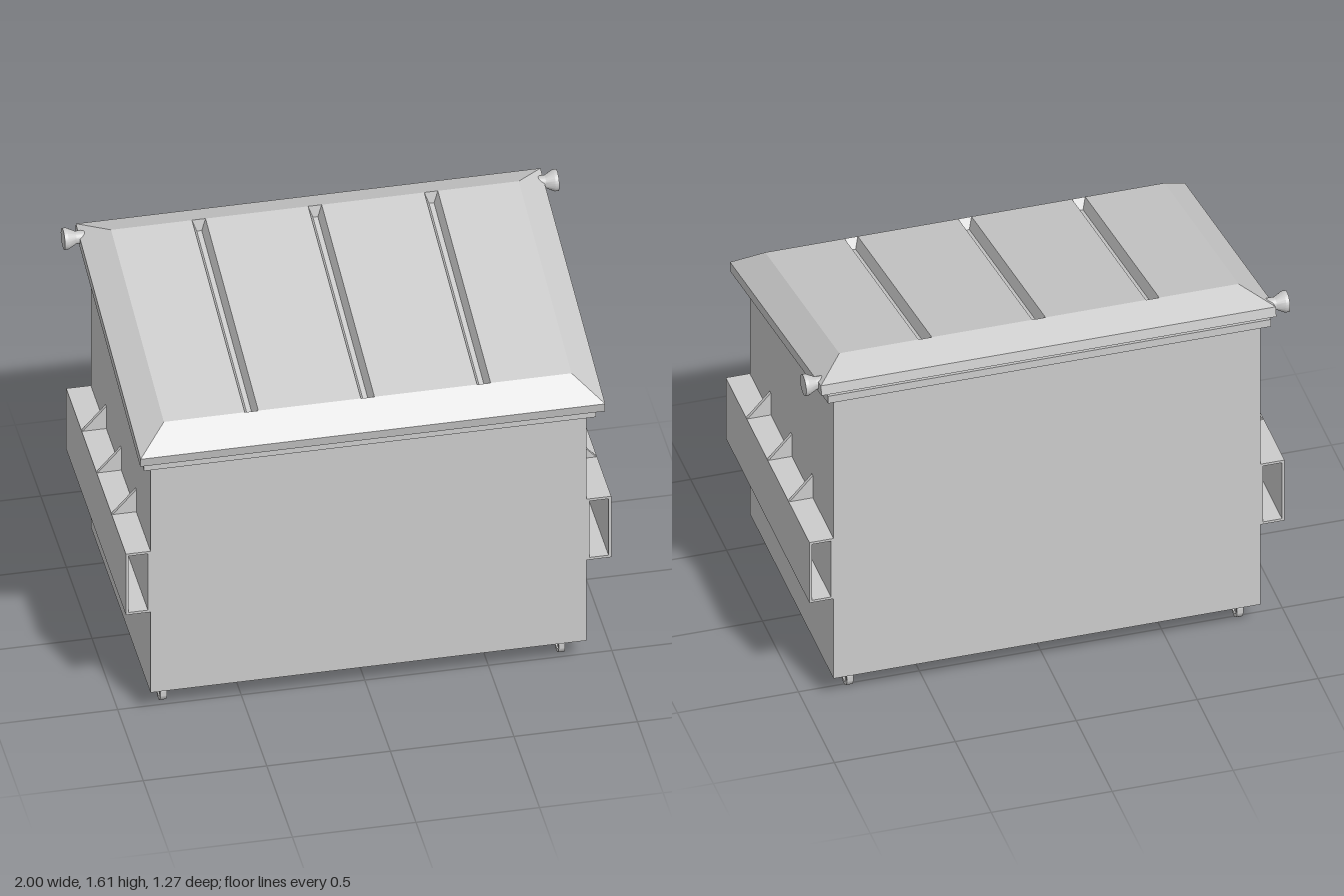
import * as THREE from 'three';
import { toCreasedNormals } from 'three/addons/utils/BufferGeometryUtils.js';

const material = new THREE.MeshStandardMaterial({ color: 0xcccccc });

function add(parent, name, geometry, x = 0, y = 0, z = 0) {
  const mesh = new THREE.Mesh(geometry, material);
  mesh.name = name;
  mesh.position.set(x, y, z);
  parent.add(mesh);
  return mesh;
}

const polygon = (points) => new THREE.Shape(points.map(([a, b]) => new THREE.Vector2(a, b)));

// Extrude a shape along z, centred on z = 0
function extrude(shape, depth) {
  return new THREE.ExtrudeGeometry(shape, { depth, bevelEnabled: false, curveSegments: 20 })
    .translate(0, 0, -depth / 2);
}

// Extrude a side profile given as (z, y) across the width
const extrudeAcross = (shape, width) => extrude(shape, width).rotateY(-Math.PI / 2);

// Rectangle at height y, corners counter-clockwise from above
const ring = (x, halfW, halfL, y) => [
  [x - halfW, y, halfL], [x + halfW, y, halfL], [x + halfW, y, -halfL], [x - halfW, y, -halfL],
];

// Lid shell: outer band, sloping hips, flat panels and sunken grooves between them
function lidGeometry() {
  const positions = [];
  const quad = (a, b, c, d) => positions.push(...a, ...b, ...c, ...a, ...c, ...d);
  const bridge = (a, b) => {
    for (let i = 0; i < 4; i++) {
      const j = (i + 1) % 4;
      quad(a[i], a[j], b[j], b[i]);
    }
  };
  const top = 0.071, topW = 0.825, topL = 0.527, grooveW = 0.0275;
  const base = ring(0, 0.94, 0.6465, -0.043);
  const brim = ring(0, 0.94, 0.6465, 0);
  quad(...[...base].reverse());
  bridge(base, brim);
  bridge(brim, ring(0, topW, topL, top));

  let left = -topW;
  for (const x of [-0.47, 0, 0.47, topW + grooveW]) {
    const right = x - grooveW;
    quad(...ring((left + right) / 2, (right - left) / 2, topL, top));
    left = x + grooveW;
    if (x > 0.5) break;
    const floor = ring(x, 0.01, topL - 0.02, top - 0.045);
    bridge(ring(x, grooveW, topL, top), floor);
    quad(...floor);
  }
  const geometry = new THREE.BufferGeometry();
  geometry.setAttribute('position', new THREE.Float32BufferAttribute(positions, 3));
  geometry.computeVertexNormals();
  return geometry;
}

// Spoked wheel in a fork under a mounting plate
function createCaster() {
  const caster = new THREE.Group();
  caster.name = 'caster';
  const tyre = new THREE.Shape().absarc(0, 0, 0.049, 0, Math.PI * 2);
  tyre.holes.push(new THREE.Path().absarc(0, 0, 0.034, 0, Math.PI * 2, true));
  add(caster, 'tyre', toCreasedNormals(extrudeAcross(tyre, 0.026), 0.6), 0, 0.049, 0);
  add(caster, 'hub', new THREE.CylinderGeometry(0.013, 0.013, 0.04, 16).rotateZ(Math.PI / 2), 0, 0.049, 0);
  for (let i = 0; i < 3; i++) {
    const spoke = add(caster, 'spoke', new THREE.BoxGeometry(0.014, 0.072, 0.009), 0, 0.049, 0);
    spoke.rotation.x = (i * Math.PI) / 3;
  }
  for (const side of [-1, 1]) {
    add(caster, 'forkArm', new THREE.BoxGeometry(0.006, 0.06, 0.018), side * 0.018, 0.072, 0);
  }
  add(caster, 'forkBridge', new THREE.BoxGeometry(0.042, 0.005, 0.03), 0, 0.1, 0);
  add(caster, 'mountingPlate', new THREE.BoxGeometry(0.07, 0.009, 0.06), 0, 0.107, 0);
  return caster;
}

// Hollow lifting sleeve with gussets, built for the +x side
function createSleeve(side) {
  const sleeve = new THREE.Group();
  sleeve.name = side > 0 ? 'leftLiftSleeve' : 'rightLiftSleeve';
  const at = (points) => points.map(([x, y]) => [side * x, y]);
  const section = polygon(at([[0.88, 0.5], [0.982, 0.5], [0.982, 0.795], [0.88, 0.795]]));
  section.holes.push(polygon(at([[0.893, 0.511], [0.893, 0.784], [0.971, 0.784], [0.971, 0.511]])));
  add(sleeve, 'sleeve', extrude(section, 1.165), 0, 0, -0.0175);
  for (const z of [0.28, -0.013, -0.305]) {
    add(sleeve, 'upperGusset', extrude(polygon(at([[0.88, 0.795], [0.978, 0.795], [0.88, 0.905]])), 0.015), 0, 0, z);
    add(sleeve, 'lowerGusset', extrude(polygon(at([[0.88, 0.5], [0.88, 0.387], [0.978, 0.5]])), 0.015), 0, 0, z);
  }
  return sleeve;
}

export function createModel() {
  const model = new THREE.Group();
  model.name = 'wasteContainer';

  // Bin body with a slanted top, and its rim
  const body = polygon([[0.565, 0.11], [0.565, 1.226], [-0.6, 1.476], [-0.6, 0.11]]);
  add(model, 'body', extrudeAcross(body, 1.765), 0.002, 0, 0);
  const rim = polygon([[0.603, 1.215], [0.603, 1.25], [-0.628, 1.515], [-0.628, 1.48]]);
  add(model, 'rim', extrudeAcross(rim, 1.83));

  // Sloping lid
  const lid = add(model, 'lid', lidGeometry(), 0.004, 1.435, 0.0075);
  lid.rotation.x = 0.2104;

  // Flared hinge ends, lifting sleeves and casters
  const flare = [[0.026, 0.86], [0.026, 0.95], [0.044, 0.985], [0.044, 1], [0, 1]]
    .map(([r, y]) => new THREE.Vector2(r, y));
  for (const side of [-1, 1]) {
    const knob = toCreasedNormals(new THREE.LatheGeometry(flare, 24), 0.5);
    add(model, 'hingeEnd', knob, 0, 1.545, -0.567).rotation.z = -side * Math.PI / 2;
    const sleeve = createSleeve(side);
    sleeve.position.x = 0.002;
    model.add(sleeve);
    for (const z of [0.452, -0.493]) {
      const caster = createCaster();
      caster.position.set(side * 0.806 - 0.008, 0, z);
      model.add(caster);
    }
  }
  return model;
}
